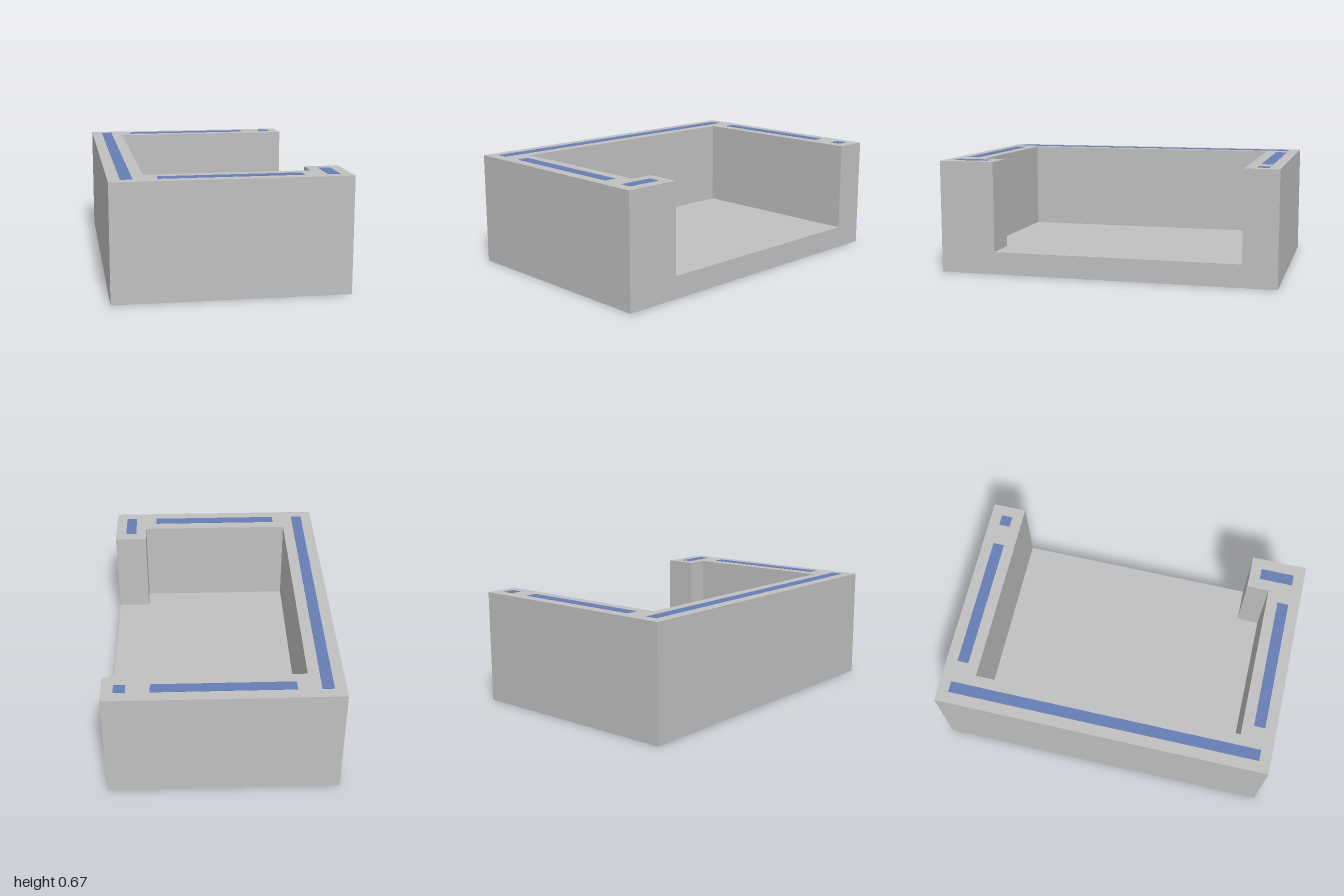
import * as THREE from 'three';

// The design sits on a regular grid: 30 units long, 20 wide, 10 high.
const U = 1 / 15;
const FLOOR = 2 * U;
const HEIGHT = 10 * U;

export function createModel() {
  const model = new THREE.Group();
  model.name = 'openTray';

  const grey = new THREE.MeshStandardMaterial({ color: 0xc0c0c0 });
  grey.name = 'light grey';
  const blue = new THREE.MeshStandardMaterial({ color: 0x667eb5 });
  blue.name = 'soft blue';

  const add = (name, geometry, material) => {
    const mesh = new THREE.Mesh(geometry, material);
    mesh.name = name;
    model.add(mesh);
    return mesh;
  };

  // Floor slab
  add('floor', new THREE.BoxGeometry(20 * U, FLOOR, 30 * U), grey).position.y = FLOOR / 2;

  // Walls: one outline in x and z, open on the +x side, with a return at the front corner
  const outline = [
    [-10, 15], [10, 15], [10, 10], [7, 10], [7, 12],
    [-7, 12], [-7, -12], [10, -12], [10, -15], [-10, -15],
  ];
  const shape = new THREE.Shape(outline.map(([x, z]) => new THREE.Vector2(x * U, -z * U)));
  const walls = new THREE.ExtrudeGeometry(shape, { depth: HEIGHT - FLOOR, bevelEnabled: false });
  walls.rotateX(-Math.PI / 2);
  add('walls', walls, grey).position.y = FLOOR;

  // Thin inlay strips on the wall tops: x from, x to, z from, z to
  const strips = {
    sideStrip: [-9, -8, -14, 14],
    backStrip: [-6, 6, -14, -13],
    backCornerStrip: [8, 9, -14, -13],
    frontStrip: [-6, 6, 13, 14],
    frontCornerStrip: [8, 9, 11, 14],
  };
  const thickness = 0.004;
  for (const [name, [x0, x1, z0, z1]] of Object.entries(strips)) {
    const plate = new THREE.BoxGeometry((x1 - x0) * U, thickness, (z1 - z0) * U);
    add(name, plate, blue).position.set(((x0 + x1) / 2) * U, HEIGHT, ((z0 + z1) / 2) * U);
  }

  return model;
}
